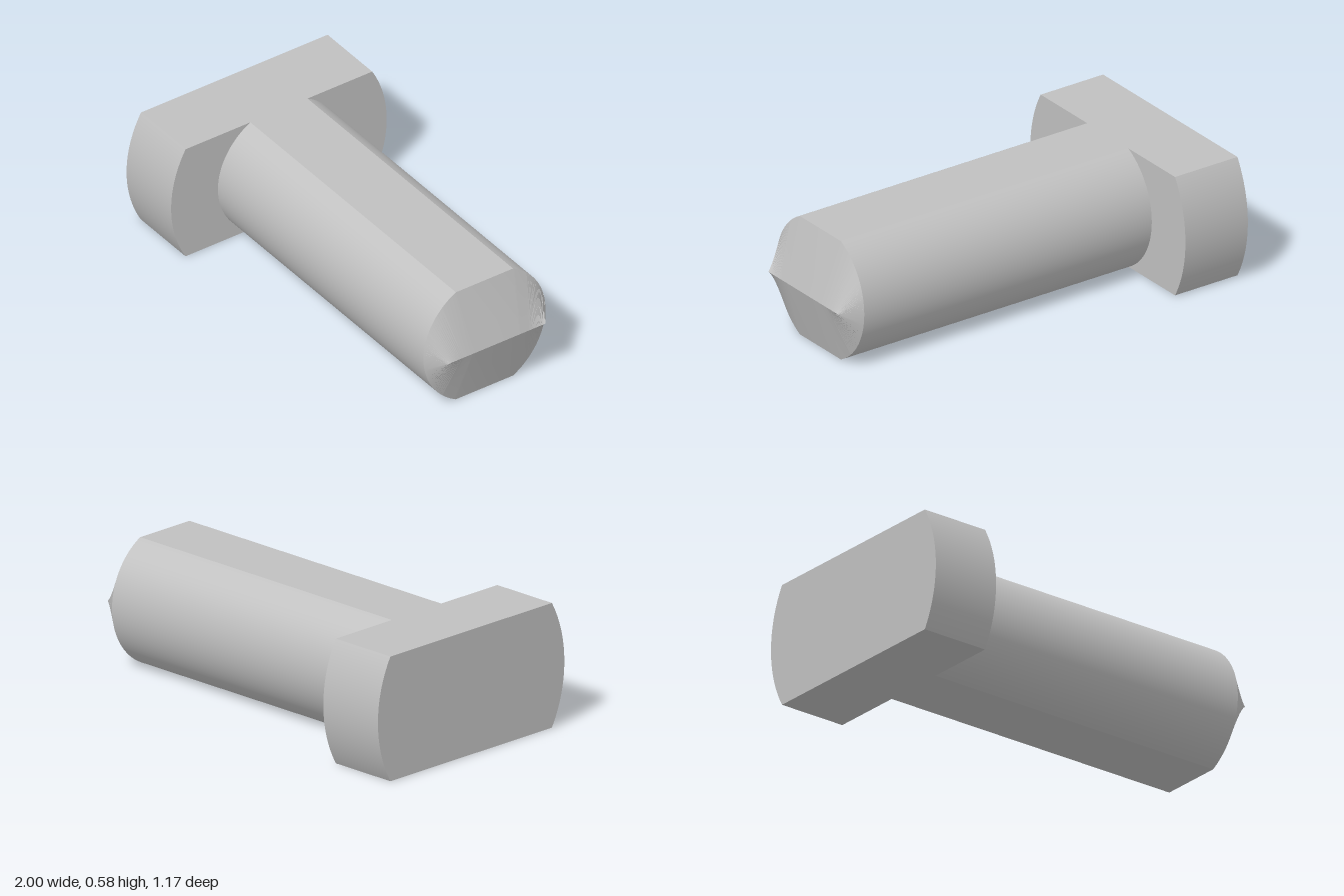
import * as THREE from 'three';
import { toCreasedNormals } from 'three/addons/utils/BufferGeometryUtils.js';

const HALF = 0.2915; // half the height between the two flats

// Disc outline cut off by a flat above and below
function flattenedDisc(radius) {
  const a = Math.asin(HALF / radius);
  const shape = new THREE.Shape();
  shape.absarc(0, 0, radius, -a, a, false);
  shape.absarc(0, 0, radius, Math.PI - a, Math.PI + a, false);
  shape.closePath();
  return shape;
}

// Bar along x; the far end can be scaled to form a taper
function bar(name, radius, x0, x1, material, endWidth = 1, endHeight = 1) {
  const depth = x1 - x0;
  const raw = new THREE.ExtrudeGeometry(flattenedDisc(radius), {
    depth, bevelEnabled: false, curveSegments: 28,
  });
  const p = raw.attributes.position;
  for (let i = 0; i < p.count; i++) {
    if (p.getZ(i) > depth / 2) {
      p.setX(i, p.getX(i) * endWidth);
      p.setY(i, p.getY(i) * endHeight);
    }
  }
  raw.rotateY(Math.PI / 2);
  raw.translate(x0, HALF, 0);
  const mesh = new THREE.Mesh(toCreasedNormals(raw, 0.3), material);
  mesh.name = name;
  return mesh;
}

export function createModel() {
  const steel = new THREE.MeshStandardMaterial({ color: 0xc0c0c0 });
  steel.name = 'steel grey';

  const bolt = new THREE.Group();
  bolt.name = 'hammerHeadBolt';
  bolt.add(
    bar('head', 0.583, -1, -0.66, steel),
    bar('shank', 0.33, -0.66, 0.907, steel),
    // chisel tip closing to a horizontal ridge
    bar('tip', 0.33, 0.907, 1, steel, 0.8, 0),
  );
  return bolt;
}
